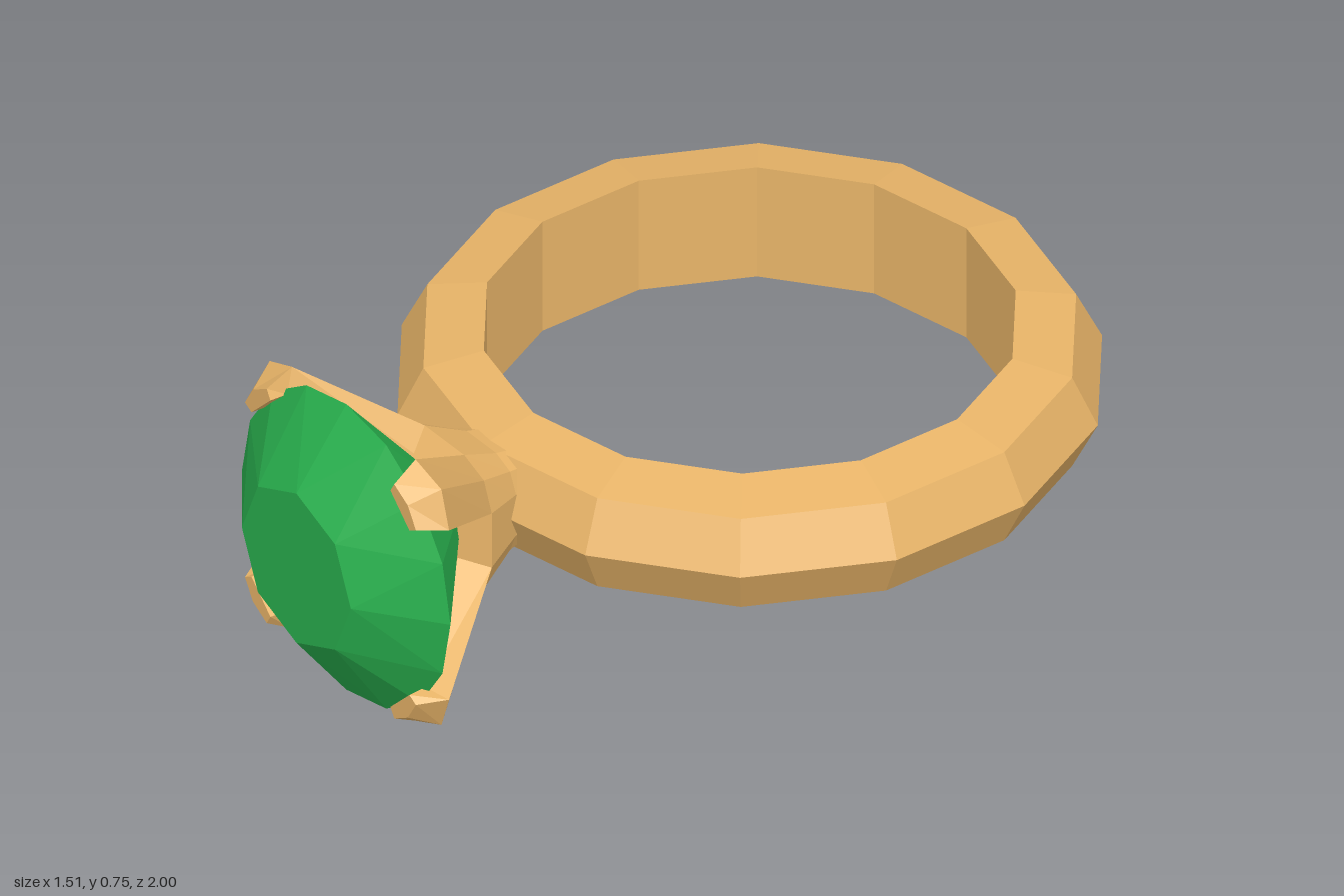
import * as THREE from 'three';

const metal = new THREE.MeshStandardMaterial({ color: 0xe8b468, flatShading: true });
const green = new THREE.MeshStandardMaterial({ color: 0x29b04e, flatShading: true });
const CY = 0.375; // height of the ring's mid plane and of the stone's axis

function meshFrom(triangles, material, name) {
  const geo = new THREE.BufferGeometry();
  geo.setAttribute('position', new THREE.Float32BufferAttribute(triangles.flat(2), 3));
  geo.computeVertexNormals();
  const mesh = new THREE.Mesh(geo, material);
  mesh.name = name;
  return mesh;
}

// Joins equal-sized loops (counter-clockwise seen from +z, ordered towards +z) and caps both ends
function loft(loops, material, name) {
  const tris = [];
  const n = loops[0].length;
  for (let k = 0; k < loops.length - 1; k++) {
    const a = loops[k], b = loops[k + 1];
    for (let i = 0; i < n; i++) {
      const j = (i + 1) % n;
      tris.push([a[i], a[j], b[j]], [a[i], b[j], b[i]]);
    }
  }
  const first = loops[0], last = loops[loops.length - 1];
  for (let i = 1; i < n - 1; i++) {
    tris.push([first[0], first[i + 1], first[i]], [last[0], last[i], last[i + 1]]);
  }
  return meshFrom(tris, material, name);
}

// Point at distance d along a direction, offset t sideways
const polar = (angle, d, t, z) => [
  d * Math.cos(angle) - t * Math.sin(angle),
  d * Math.sin(angle) + t * Math.cos(angle), z];

function makeBand() {
  const profile = [[0.585, -0.1425], [0.718, -0.115], [0.775, 0], [0.718, 0.115], [0.585, 0.1425], [0.585, -0.1425]]
    .map(([r, y]) => new THREE.Vector2(r, y));
  const band = new THREE.Mesh(new THREE.LatheGeometry(profile, 14), metal);
  band.name = 'band';
  band.position.set(0, CY, -0.225);
  return band;
}

// Faceted stone: octagonal table, 16-sided girdle and pointed back
function makeStone() {
  const table = i => polar(i * Math.PI / 4, 0.195, 0, 1);
  const girdle = i => polar(i * Math.PI / 8, 0.373, 0, 0.865);
  const tip = [0, 0, 0.55], centre = [0, 0, 1];
  const tris = [];
  for (let i = 0; i < 8; i++) {
    const g = 2 * i;
    tris.push([centre, table(i), table(i + 1)]);
    tris.push([table(i), girdle(g + 1), table(i + 1)]);
    tris.push([table(i), girdle(g), girdle(g + 1)], [table(i), girdle(g - 1), girdle(g)]);
    tris.push([tip, girdle(g + 1), girdle(g)], [tip, girdle(g + 2), girdle(g + 1)]);
  }
  return meshFrom(tris, green, 'stone');
}

// Flared base of the setting, four ridged corners with flats between
function makeBasket() {
  const loop = (ridge, side, half, z) => {
    const pts = [];
    for (let q = 0; q < 4; q++) {
      const a = Math.PI / 4 + q * Math.PI / 2;
      pts.push(polar(a, side, -half, z), polar(a, ridge, 0, z), polar(a, side, half, z));
    }
    return pts;
  };
  return loft([
    loop(0.132, 0.114, 0.045, 0.45),
    loop(0.145, 0.125, 0.05, 0.5),
    loop(0.2, 0.17, 0.07, 0.6),
    loop(0.13, 0.12, 0.05, 0.655),
  ], metal, 'settingBase');
}

// Five-sided claw: sections give [distance, half width, z] for ridge, side and inner edge
function makeProng(angle) {
  const sections = [
    [[0.2, 0, 0.6], [0.17, 0.07, 0.6], [0.06, 0.05, 0.6]],
    [[0.435, 0, 0.84], [0.398, 0.085, 0.845], [0.35, 0.05, 0.865]],
    [[0.392, 0, 0.908], [0.378, 0.055, 0.908], [0.352, 0.048, 0.908]],
  ];
  const loops = sections.map(([r, s, n]) => [
    polar(angle, ...r),
    polar(angle, ...s),
    polar(angle, ...n),
    polar(angle, n[0], -n[1], n[2]),
    polar(angle, s[0], -s[1], s[2]),
  ]);
  return loft(loops, metal, 'prong');
}

export function createModel() {
  const model = new THREE.Group();
  model.name = 'gemRing';
  const setting = new THREE.Group();
  setting.name = 'setting';
  setting.position.y = CY;
  setting.add(makeBasket(), makeStone());
  for (let q = 0; q < 4; q++) setting.add(makeProng(Math.PI / 4 + q * Math.PI / 2));
  model.add(makeBand(), setting);
  return model;
}
